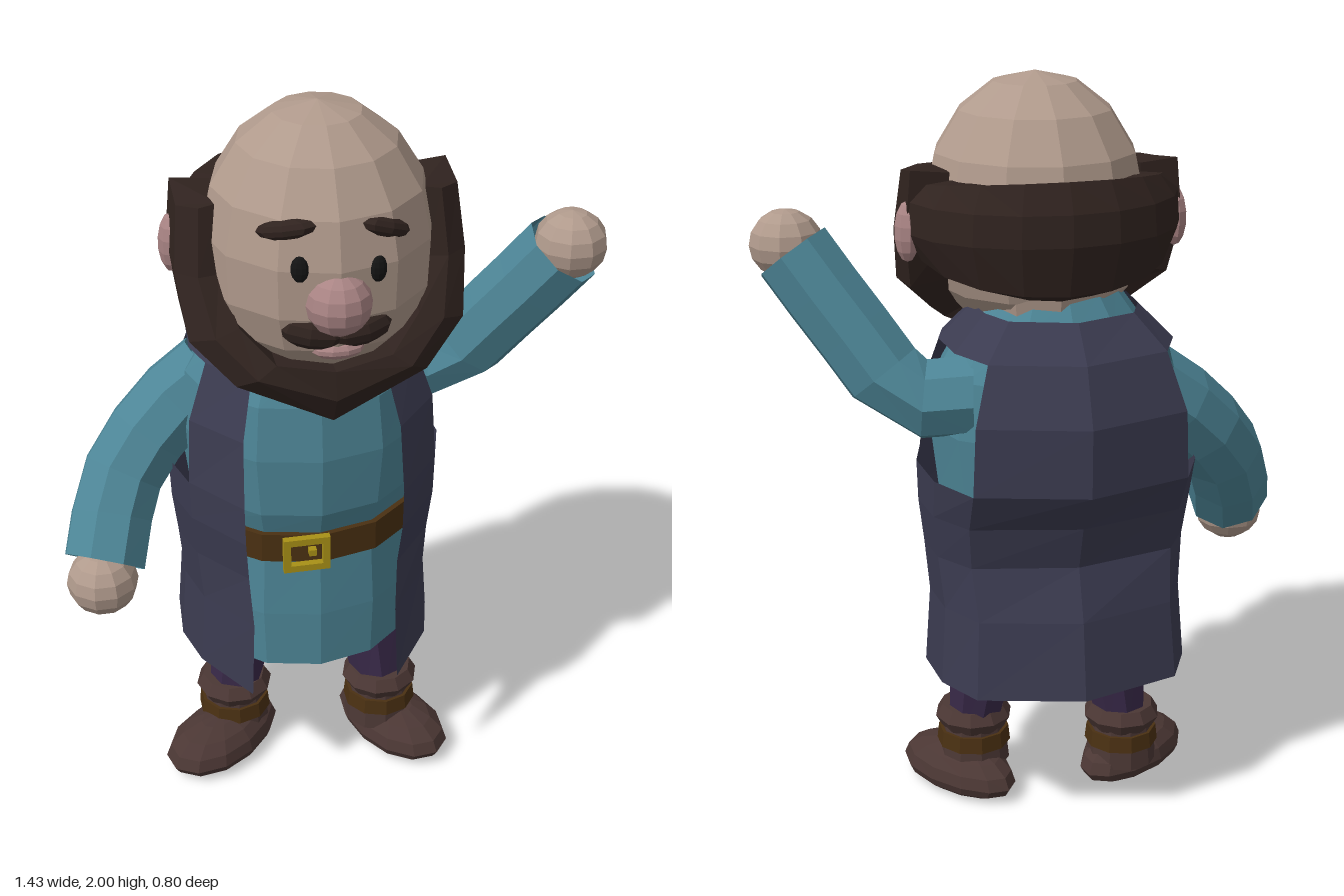
import * as THREE from 'three';

const mat = (color) => new THREE.MeshStandardMaterial({ color, flatShading: true, side: THREE.DoubleSide });
const SKIN = mat(0xb09a8c), PINK = mat(0xa98484), HAIR = mat(0x30231f), SHIRT = mat(0x4d8596);
const COAT = mat(0x3b3b50), TROUSERS = mat(0x3a2a4a), BOOT = mat(0x4b3734), LEATHER = mat(0x4a3012);
const GOLD = mat(0xa89016), BLACK = mat(0x141414);
const HEAD_X = -0.025, BODY_X = -0.05, BODY_Z = -0.02;

function mesh(name, geometry, material, parent) {
  const m = new THREE.Mesh(geometry, material);
  m.name = name;
  parent.add(m);
  return m;
}

// Skins a list of equal-length rings of [x, y, z]; skip(row, col) leaves a gap
function loft(rings, { closed = true, caps = false, skip = () => false } = {}) {
  const n = rings[0].length, index = [];
  for (let r = 0; r < rings.length - 1; r++) {
    for (let c = 0; c < (closed ? n : n - 1); c++) {
      if (skip(r, c)) continue;
      const d = (c + 1) % n, a = r * n, b = a + n;
      index.push(a + c, a + d, b + d, a + c, b + d, b + c);
    }
  }
  if (caps) {
    const e = (rings.length - 1) * n;
    for (let c = 1; c < n - 1; c++) index.push(0, c + 1, c, e, e + c, e + c + 1);
  }
  const g = new THREE.BufferGeometry();
  g.setAttribute('position', new THREE.Float32BufferAttribute(rings.flat(2), 3));
  g.setIndex(index);
  g.computeVertexNormals();
  return g;
}

function ring(x, y, z, rx, rz, n) {
  return Array.from({ length: n }, (_, i) => {
    const a = (i / n) * Math.PI * 2;
    return [x + Math.sin(a) * rx, y, z + Math.cos(a) * rz];
  });
}

function blob(name, material, parent, position, scale, w = 10, h = 7) {
  const m = mesh(name, new THREE.SphereGeometry(1, w, h), material, parent);
  m.position.set(...position);
  m.scale.set(...scale);
  return m;
}

function buildHead(root) {
  const head = new THREE.Group();
  head.name = 'head';
  root.add(head);

  // Skull and neck
  const profile = [[0, 1.33], [0.17, 1.36], [0.25, 1.45], [0.285, 1.55], [0.29, 1.68], [0.265, 1.8], [0.2, 1.905], [0.11, 1.975], [0, 2]];
  const skull = mesh('skull', new THREE.LatheGeometry(profile.map((p) => new THREE.Vector2(...p)), 12), SKIN, head);
  skull.position.set(HEAD_X, 0, 0.06);
  const neck = mesh('neck', new THREE.CylinderGeometry(0.2, 0.16, 0.2, 10), SKIN, head);
  neck.position.set(HEAD_X, 1.42, -0.01);

  // Face
  blob('nose', PINK, head, [HEAD_X, 1.59, 0.32], [0.083, 0.083, 0.08], 12, 8);
  blob('lowerLip', PINK, head, [HEAD_X + 0.005, 1.45, 0.29], [0.066, 0.026, 0.035]);
  for (const s of [-1, 1]) {
    const x = HEAD_X + s * 0.095;
    blob('eye', BLACK, head, [x, 1.68 - s * 0.008, 0.325], [0.022, 0.034, 0.014]).rotation.y = s * 0.3;
    const brow = blob('eyebrow', HAIR, head, [x + s * 0.025, 1.768 - s * 0.008, 0.285], [0.075, 0.026, 0.03], 8, 6);
    brow.rotation.set(-0.2, s * 0.45, s < 0 ? 0.12 : -0.3);
    const lobe = blob('moustache', HAIR, head, [HEAD_X + s * 0.062, 1.51, 0.3], [0.085, 0.045, 0.045], 8, 6);
    lobe.rotation.set(0, s * 0.25, s * 0.12);
    blob('ear', PINK, head, [HEAD_X + s * 0.355, 1.62, -0.02], [0.033, 0.078, 0.045], 8, 7);
  }

  // Sideburns and beard: [inner x, inner y, outer x, outer y, front z, back z]
  const half = [
    [0.25, 1.77, 0.35, 1.76, 0.1, -0.05], [0.26, 1.6, 0.365, 1.6, 0.14, -0.05],
    [0.225, 1.49, 0.345, 1.45, 0.22, 0], [0.145, 1.41, 0.24, 1.345, 0.28, 0.08], [0, 1.385, 0, 1.23, 0.295, 0.12],
  ];
  const station = (s) => ([ix, iy, ox, oy, f, b]) => {
    const p = (x, y, z) => [HEAD_X + s * x, y, z];
    return [p(ix, iy, f), p((ix + ox) / 2, (iy + oy) / 2, f + 0.01), p(ox, oy, f - 0.03), p(ox, oy + 0.02, b), p(ix, iy, b)];
  };
  const beard = [...half.map(station(-1)), ...half.slice(0, -1).reverse().map(station(1))];
  mesh('beard', loft(beard, { caps: true }), HAIR, head);

  // Thick band of hair round the back of the head
  const band = [];
  for (let i = 0; i <= 10; i++) {
    const a = (-0.06 + 1.12 * (i / 10)) * Math.PI, back = Math.max(0, Math.sin(a));
    const p = (k, y) => [HEAD_X + Math.cos(a) * 0.365 * k, y, -Math.sin(a) * 0.305 * k];
    band.push([p(0.65, 1.75), p(0.87, 1.735 + back * 0.04), p(0.98, 1.7), p(1, 1.62), p(0.9, 1.56 - back * 0.07), p(0.65, 1.55 - back * 0.09)]);
  }
  mesh('backHair', loft(band, { caps: true }), HAIR, head);
}

function buildBody(root) {
  // Shirt, open at the hem: [y, half width, half depth]
  const rows = [
    [0.43, 0.29, 0.25], [0.6, 0.3, 0.25], [0.77, 0.29, 0.24], [0.86, 0.29, 0.24], [0.93, 0.31, 0.265],
    [1.1, 0.33, 0.275], [1.25, 0.31, 0.26], [1.38, 0.23, 0.21], [1.46, 0.17, 0.16],
  ];
  mesh('shirt', loft(rows.map(([y, w, d]) => ring(BODY_X, y, BODY_Z, w, d, 12))), SHIRT, root);

  // Belt and buckle
  const beltRing = (y, k) => ring(BODY_X, y, BODY_Z, 0.29 + k, 0.24 + k, 12);
  mesh('belt', loft([beltRing(0.778, 0), beltRing(0.778, 0.016), beltRing(0.862, 0.016), beltRing(0.862, 0)]), LEATHER, root);
  const rect = (shape, w, h) => shape.moveTo(-w, -h).lineTo(w, -h).lineTo(w, h).lineTo(-w, h).closePath();
  const frame = new THREE.Shape(), hole = new THREE.Path();
  rect(frame, 0.062, 0.05);
  rect(hole, 0.043, 0.031);
  frame.holes.push(hole);
  const buckle = mesh('buckle', new THREE.ExtrudeGeometry(frame, { depth: 0.02, bevelEnabled: false }), GOLD, root);
  buckle.position.set(-0.092, 0.82, 0.237);
  const pin = mesh('bucklePin', new THREE.BoxGeometry(0.02, 0.018, 0.02), GOLD, root);
  pin.position.set(-0.075, 0.82, 0.241);

  // Sleeveless open coat: plan columns from one front edge round the back to the other
  const side = [[0.57, 1], [0.9, 0.45], [1, 0], [0.97, -0.43], [0.78, -0.78]];
  const plan = [...side, [0, -1], ...side.map(([x, z]) => [-x, z]).reverse()];
  // [y, half width, front z, back z]
  const coatRows = [
    [1.42, 0.21, 0.12, 0.265], [1.33, 0.3, 0.2, 0.345], [1.18, 0.355, 0.25, 0.4], [1.0, 0.365, 0.28, 0.4], [0.89, 0.362, 0.28, 0.325],
    [0.77, 0.348, 0.262, 0.29], [0.63, 0.335, 0.285, 0.335], [0.42, 0.35, 0.29, 0.365],
  ];
  const coat = coatRows.map(([y, w, f, b], r) => plan.map(([x, z]) => [
    BODY_X + x * w, r === 7 && z === 1 ? y - 0.015 : y, z * (z > 0 ? f : b),
  ]));
  const armhole = (r, c) => (r === 1 || r === 2) && ((c >= 1 && c <= 3) || (c >= 6 && c <= 8));
  mesh('coat', loft(coat.reverse(), { closed: false, skip: (r, c) => armhole(coat.length - 2 - r, c) }), COAT, root);
}

function buildArm(root, name, points, radius, hand) {
  const arm = new THREE.Group();
  arm.name = name;
  root.add(arm);
  const curve = new THREE.CatmullRomCurve3(points.map((p) => new THREE.Vector3(...p)));
  mesh('sleeve', new THREE.TubeGeometry(curve, 5, radius, 8), SHIRT, arm);
  blob('hand', SKIN, arm, hand, [0.095, 0.09, 0.095], 10, 8);
}

function buildLeg(root, name, { top, ankle, foot, turn, lift }) {
  const leg = new THREE.Group();
  leg.name = name;
  root.add(leg);
  const [ax, az] = ankle;
  mesh('trouserLeg', loft([ring(ax, 0.18, az, 0.07, 0.075, 8), ring(top[0], 0.45, top[1], 0.102, 0.105, 8), ring(top[0], 0.65, top[1], 0.12, 0.12, 8)]), TROUSERS, leg);

  // Boot with strap and rolled cuff
  const shaft = mesh('bootShaft', new THREE.CylinderGeometry(0.085, 0.1, 0.14, 10), BOOT, leg);
  shaft.position.set(ax, 0.13 + lift, az);
  const strap = mesh('bootStrap', new THREE.CylinderGeometry(0.098, 0.103, 0.045, 10), LEATHER, leg);
  strap.position.set(ax, 0.138 + lift, az);
  const cuff = mesh('bootCuff', new THREE.TorusGeometry(0.07, 0.038, 6, 10), BOOT, leg);
  cuff.rotation.x = Math.PI / 2;
  cuff.position.set(ax, 0.2 + lift, az);

  // Foot: a long dome with a flat sole
  const g = new THREE.SphereGeometry(1, 12, 8), p = g.attributes.position;
  for (let i = 0; i < p.count; i++) {
    const y = p.getY(i), z = p.getZ(i);
    p.setXYZ(i, p.getX(i) * (0.112 + 0.015 * z), Math.max(0, 0.045 + y * (y > 0 ? 0.085 : 0.06)), z * 0.2);
  }
  const f = mesh('foot', g, BOOT, leg);
  f.position.set(foot[0], 0, foot[1]);
  f.rotation.y = turn;
}

export function createModel() {
  const root = new THREE.Group();
  root.name = 'beardedMan';
  buildHead(root);
  buildBody(root);
  buildArm(root, 'rightArm', [[-0.28, 1.2, -0.1], [-0.4, 1.11, -0.085], [-0.54, 0.95, -0.02], [-0.61, 0.77, 0.11]], 0.113, [-0.62, 0.725, 0.13]);
  buildArm(root, 'leftArm', [[0.18, 1.2, -0.1], [0.34, 1.2, -0.06], [0.47, 1.36, 0.01], [0.605, 1.56, 0.09]], 0.107, [0.62, 1.58, 0.1]);
  buildLeg(root, 'rightLeg', { top: [-0.21, -0.03], ankle: [-0.255, -0.035], foot: [-0.298, 0.02], turn: -0.9, lift: 0 });
  buildLeg(root, 'leftLeg', { top: [0.13, -0.005], ankle: [0.16, 0.035], foot: [0.195, 0.047], turn: 0.5, lift: 0.02 });
  return root;
}
